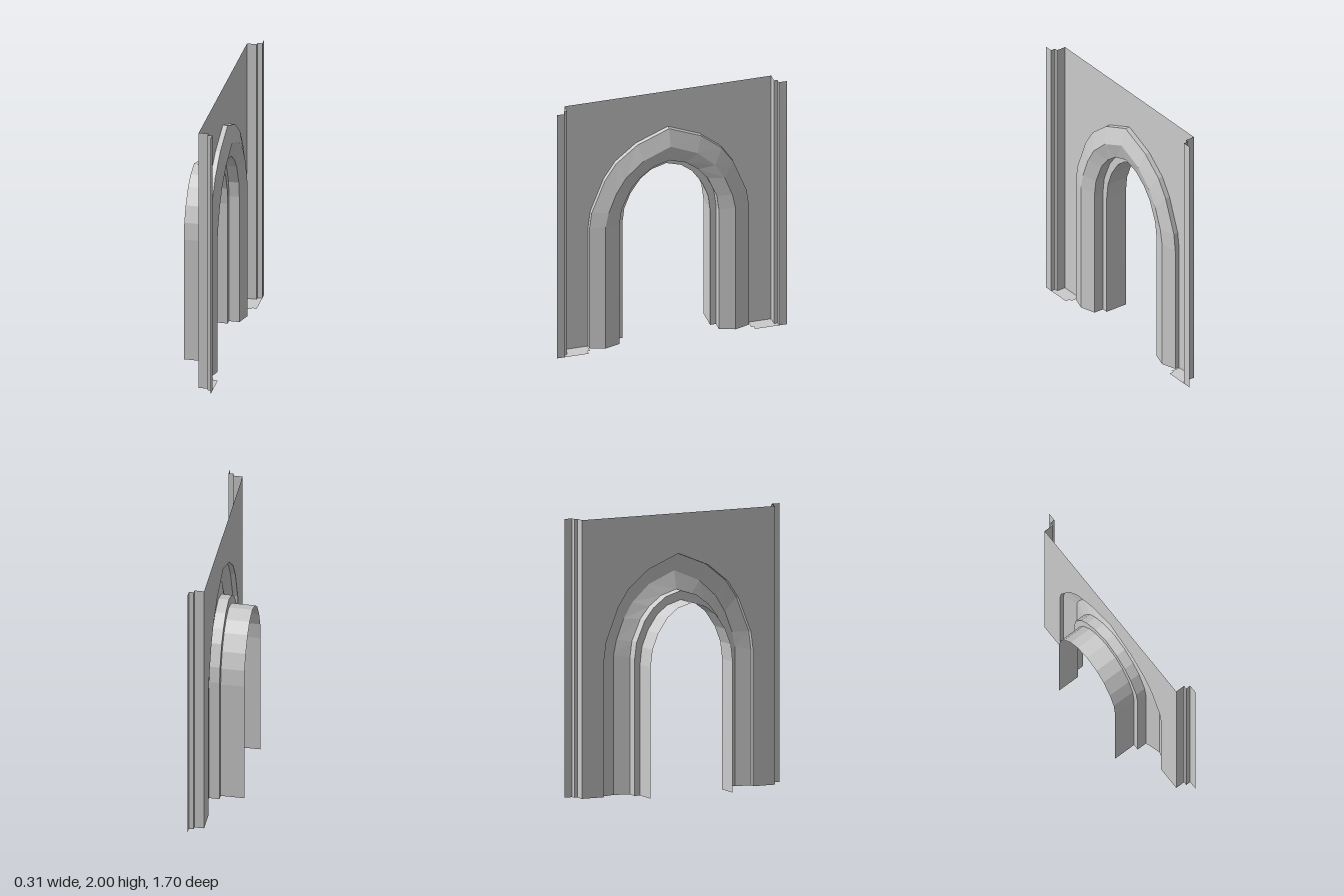
import * as THREE from 'three';

const material = new THREE.MeshStandardMaterial({
  color: 0xcccccc, flatShading: true, side: THREE.DoubleSide,
});

// Arch outlines as [half width, height], from the ground up to the crown
const OUTER = [[0.59, 0], [0.59, 0.98], [0.573, 1.11], [0.475, 1.36], [0.39, 1.487], [0.235, 1.613], [0, 1.71]];
const RIDGE = [[0.48, 0], [0.48, 1.0], [0.458, 1.11], [0.4, 1.26], [0.33, 1.375], [0.2, 1.495], [0, 1.58]];
const INNER = [[0.368, 0], [0.368, 0.98], [0.352, 1.1], [0.285, 1.255], [0.217, 1.34], [0.122, 1.412], [0, 1.45]];
const TUNNEL = [[0.325, 0], [0.325, 0.94], [0.31, 1.065], [0.265, 1.18], [0.19, 1.29], [0.11, 1.352], [0, 1.385]];

// Full arch at depth x, running from the -z foot over the crown to the +z foot
function archRow(half, x) {
  const near = half.map(([w, y]) => new THREE.Vector3(x, y, -w));
  const far = half.slice(0, -1).reverse().map(([w, y]) => new THREE.Vector3(x, y, w));
  return [...near, ...far];
}

// Flat-faced sheet through rows of points
function loft(rows) {
  const points = [];
  for (let i = 0; i < rows.length - 1; i++) {
    for (let j = 0; j < rows[i].length - 1; j++) {
      const a = rows[i][j], b = rows[i][j + 1];
      const c = rows[i + 1][j + 1], d = rows[i + 1][j];
      points.push(a, b, c, a, c, d);
    }
  }
  const geometry = new THREE.BufferGeometry().setFromPoints(points);
  geometry.computeVertexNormals();
  return geometry;
}

function part(name, geometry) {
  const mesh = new THREE.Mesh(geometry, material);
  mesh.name = name;
  return mesh;
}

export function createModel() {
  const model = new THREE.Group();
  model.name = 'archedWall';

  // Wall sheet wrapping around the arch
  const outline = archRow(OUTER, 0).map((p) => new THREE.Vector2(p.z, p.y));
  const wall = new THREE.Shape([
    ...outline,
    new THREE.Vector2(0.765, 0), new THREE.Vector2(0.765, 2),
    new THREE.Vector2(-0.765, 2), new THREE.Vector2(-0.765, 0),
  ]);
  model.add(part('wallPanel', new THREE.ShapeGeometry(wall).rotateY(Math.PI / 2).translate(0.05, 0, 0)));

  // Raised moulding with a ridge, and the rebate behind it
  model.add(part('archMoulding', loft([
    archRow(OUTER, 0.05), archRow(OUTER, 0.085), archRow(RIDGE, 0.12), archRow(INNER, 0.085),
  ])));
  model.add(part('archRebate', loft([
    archRow(INNER, 0.085), archRow(INNER, 0.01), archRow(TUNNEL, 0.01),
  ])));

  // Passage lining running back from the opening
  model.add(part('passageLining', loft([archRow(TUNNEL, 0.01), archRow(TUNNEL, -0.16)])));

  // Stepped edge strips and floor plates, mirrored on both sides
  const profile = [[0.05, 0.765], [0.12, 0.765], [0.12, 0.79], [0.155, 0.79], [0.155, 0.85]];
  const strip = loft([0, 2].map((y) => profile.map(([x, w]) => new THREE.Vector3(x, y, -w))));
  const plate = new THREE.ShapeGeometry(new THREE.Shape([
    [0.05, 0.595], [0.12, 0.595], [0.12, 0.615], [0.155, 0.615],
    [0.155, 0.79], [0.12, 0.79], [0.12, 0.765], [0.05, 0.765],
  ].map(([x, w]) => new THREE.Vector2(x, w)))).rotateX(-Math.PI / 2);
  for (const side of [1, -1]) {
    const edge = new THREE.Group();
    edge.name = side > 0 ? 'backEdge' : 'frontEdge';
    edge.add(part('edgeStrip', strip), part('floorPlate', plate));
    edge.scale.z = side;
    model.add(edge);
  }
  return model;
}
